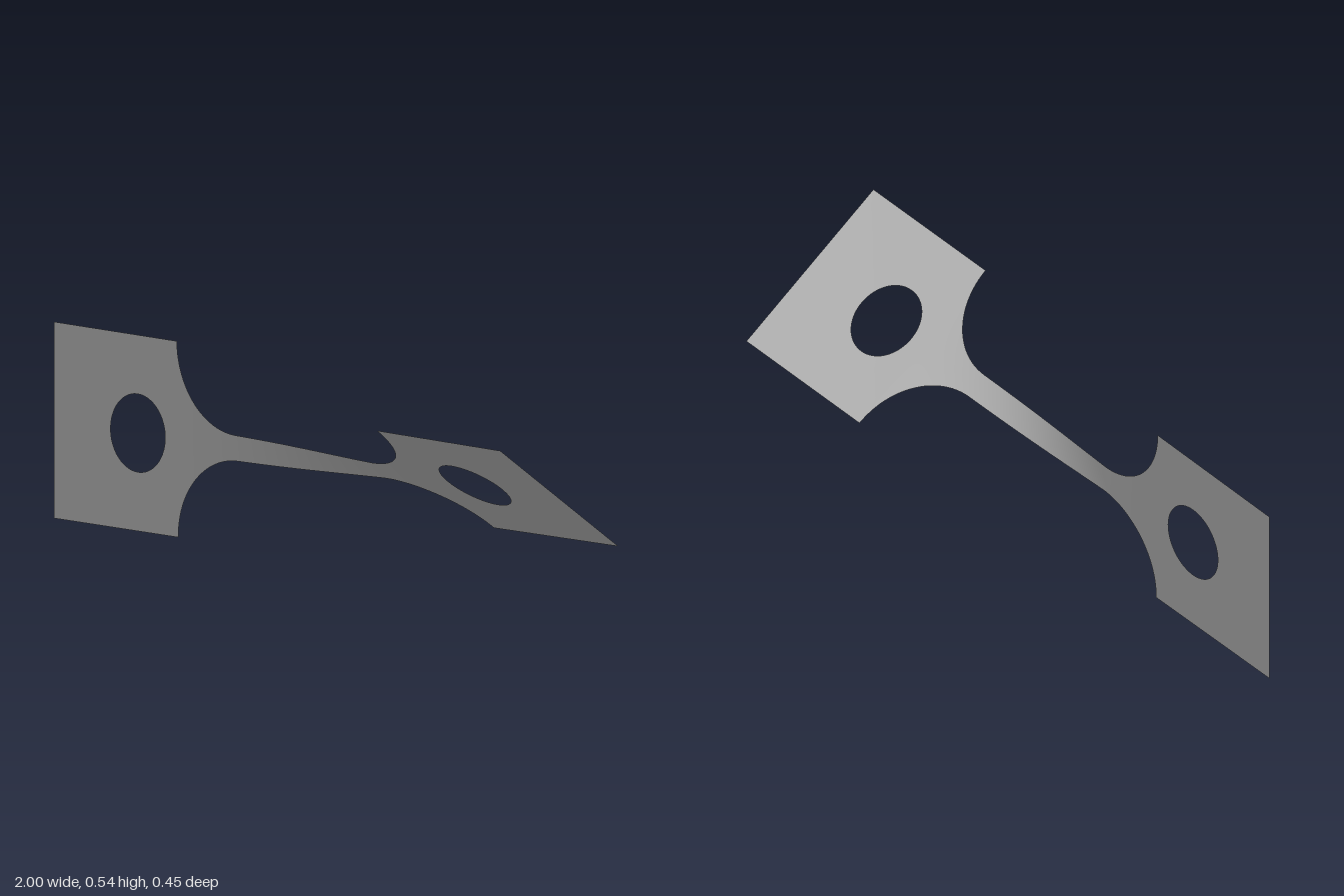
import * as THREE from 'three';

const MID_Y = 0.271;      // height of the long axis
const TAB = 0.271;        // half width of the end tabs
const NECK = 0.0365;      // half width of the narrow strip
const SHOULDER = 0.51;    // where the tabs begin
const R = TAB - NECK;     // fillet radius
const HOLE_X = 0.667, HOLE_R = 0.108;

// Twist angle along the bar: strong in the strip, almost nothing in the tabs
function twist(x) {
  const u = THREE.MathUtils.clamp(x / SHOULDER, -1, 1);
  return THREE.MathUtils.degToRad(27.6 + 26.4 * Math.sin(u * Math.PI / 2) + 1.2 * x);
}

// Thin sheet from a rule (i, j) -> [x, distance from axis], twisted about the axis
function sheet(name, nu, nv, rule, material) {
  const pos = [], index = [];
  for (let i = 0; i <= nu; i++) {
    for (let j = 0; j <= nv; j++) {
      const [x, h] = rule(i, j);
      const a = twist(x);
      pos.push(x, MID_Y + h * Math.cos(a), h * Math.sin(a));
      if (i < nu && j < nv) {
        const p = i * (nv + 1) + j, q = p + nv + 1;
        index.push(p, q, q + 1, p, q + 1, p + 1);
      }
    }
  }
  const geo = new THREE.BufferGeometry();
  geo.setAttribute('position', new THREE.Float32BufferAttribute(pos, 3));
  geo.setIndex(index);
  geo.computeVertexNormals();
  const mesh = new THREE.Mesh(geo, material);
  mesh.name = name;
  return mesh;
}

// Square tab with a round hole: rings running from the hole out to the rectangle
function tab(name, side, material) {
  const n = 20, rings = 8;
  const x0 = side < 0 ? -1 : SHOULDER, x1 = side < 0 ? -SHOULDER : 1;
  const corners = [[x0, -TAB], [x1, -TAB], [x1, TAB], [x0, TAB]];
  return sheet(name, rings, n * 4, (i, j) => {
    const k = Math.floor(j / n) % 4, f = (j % n) / n;
    const a = corners[k], b = corners[(k + 1) % 4];
    const ox = THREE.MathUtils.lerp(a[0], b[0], f), oy = THREE.MathUtils.lerp(a[1], b[1], f);
    const cx = side * HOLE_X, d = Math.hypot(ox - cx, oy);
    const s = THREE.MathUtils.lerp(HOLE_R / d, 1, i / rings);
    return [cx + (ox - cx) * s, oy * s];
  }, material);
}

// Outline of the narrow strip: fillet, straight run, fillet
function stripOutline() {
  const out = [], n = 24, start = SHOULDER - R;
  for (let i = 0; i <= n; i++) {
    const t = (1 - i / n) * Math.PI / 2;
    out.push([-start - R * Math.sin(t), TAB - R * Math.cos(t)]);
  }
  for (let i = 1; i < n; i++) out.push([start * (2 * i / n - 1), NECK]);
  for (let i = n; i >= 0; i--) out.push([-out[i][0], out[i][1]]);
  return out;
}

export function createModel() {
  const metal = new THREE.MeshStandardMaterial({ color: 0xc0c0c0, side: THREE.DoubleSide });
  metal.name = 'light grey metal';

  const outline = stripOutline(), rows = 12;
  const group = new THREE.Group();
  group.name = 'twistedBar';
  group.add(
    tab('rightTab', -1, metal),
    sheet('twistedStrip', outline.length - 1, rows,
      (i, j) => [outline[i][0], outline[i][1] * (2 * j / rows - 1)], metal),
    tab('leftTab', 1, metal),
  );
  return group;
}
